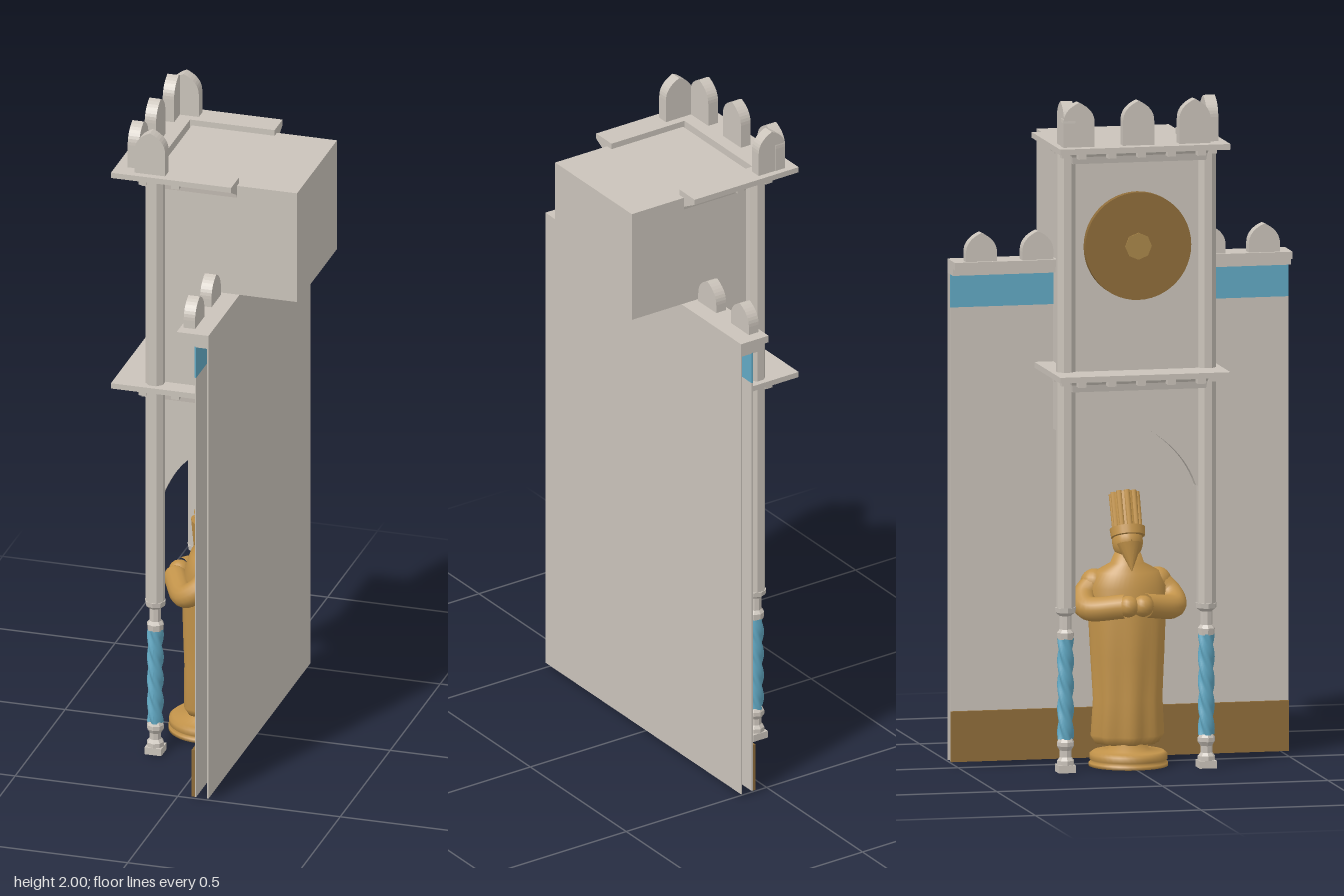
import * as THREE from 'three';

const mat = (name, color) => new THREE.MeshStandardMaterial({ name, color });

export function createModel() {
  const group = new THREE.Group();
  const stone = mat('stone', 0xcac3ba);
  const gold = mat('gold', 0xc2934a);
  const brown = mat('brown', 0x8f6d3a);
  const paleBrown = mat('paleBrown', 0xa98649);
  const blue = mat('blue', 0x62a9c4);
  const facet = stone.clone();
  facet.name = 'facetedStone';
  facet.flatShading = true;
  facet.side = THREE.DoubleSide;

  const add = (name, geo, material, x = 0, y = 0, z = 0, parent = group) => {
    const m = new THREE.Mesh(geo, material);
    m.name = name;
    m.position.set(x, y, z);
    parent.add(m);
    return m;
  };
  // box from its limits
  const box = (name, material, x0, x1, y0, y1, z0, z1) =>
    add(name, new THREE.BoxGeometry(x1 - x0, y1 - y0, z1 - z0), material, (x0 + x1) / 2, (y0 + y1) / 2, (z0 + z1) / 2);

  // surface through rings of points; rings are closed loops, ends are capped
  const loft = (rings, flat) => {
    const n = rings[0].length, pos = rings.flat(2), idx = [];
    for (let i = 0; i < rings.length - 1; i++)
      for (let j = 0; j < n; j++) {
        const a = i * n + j, b = i * n + (j + 1) % n;
        idx.push(a, a + n, b, b, a + n, b + n);
      }
    const last = (rings.length - 1) * n;
    for (let j = 1; j < n - 1; j++) idx.push(0, j, j + 1, last, last + j + 1, last + j);
    let g = new THREE.BufferGeometry();
    g.setAttribute('position', new THREE.Float32BufferAttribute(pos, 3));
    g.setIndex(idx);
    if (flat) g = g.toNonIndexed();
    g.computeVertexNormals();
    return g;
  };

  // Wall: two separate sheets, skirting, painted band and coping
  box('backSheet', stone, 0.094, 0.098, 0.01, 1.47, -0.51, 0.51);
  box('frontSheet', stone, 0.056, 0.06, 0.01, 1.36, -0.51, 0.51);
  box('skirting', brown, 0.046, 0.056, 0.01, 0.16, -0.51, 0.51);
  for (const s of [-1, 1]) {
    const a = Math.min(s * 0.2, s * 0.51), b = Math.max(s * 0.2, s * 0.51);
    box('paintedBand', blue, 0.055, 0.06, 1.36, 1.46, a, b);
    box('copingTop', stone, 0, 0.098, 1.478, 1.5, a, b);
    box('copingLower', stone, 0.025, 0.098, 1.458, 1.478, a, b);
  }
  box('copingMiddle', stone, 0.06, 0.098, 1.46, 1.5, -0.2, 0.2);

  // Battlement stones with pointed arch tops, facing x or z
  const merlon = (x, y, z, h, turned) => {
    const w = 0.047, s = new THREE.Shape();
    s.moveTo(-w, 0);
    s.lineTo(w, 0);
    s.lineTo(w, h - 0.06);
    s.quadraticCurveTo(w, h - 0.02, 0, h);
    s.quadraticCurveTo(-w, h - 0.02, -w, h - 0.06);
    const g = new THREE.ExtrudeGeometry(s, { depth: 0.035, bevelEnabled: false, curveSegments: 8 });
    g.translate(0, 0, -0.0175);
    const m = add('merlon', g, stone, x, y, z);
    if (turned) m.rotation.y = Math.PI / 2;
  };
  for (const z of [-0.427, -0.257, 0.263, 0.427]) merlon(0.028, 1.5, z, 0.085, true);
  for (const z of [-0.192, -0.012, 0.158]) merlon(-0.227, 1.865, z, 0.135, true);
  merlon(-0.198, 1.865, -0.22, 0.135);
  merlon(-0.167, 1.865, 0.218, 0.135);

  // Tower: upper housing, arched front and half-arched sides
  box('clockHousing', stone, -0.15, 0.275, 1.5, 1.85, -0.2, 0.2);
  const front = new THREE.Shape();
  front.moveTo(-0.2, 0.84);
  front.lineTo(-0.18, 0.84);
  front.quadraticCurveTo(-0.14, 0.96, 0, 1.03);
  front.quadraticCurveTo(0.14, 0.96, 0.18, 0.84);
  front.lineTo(0.2, 0.84);
  front.lineTo(0.2, 1.85);
  front.lineTo(-0.2, 1.85);
  const frontGeo = new THREE.ExtrudeGeometry(front, { depth: 0.03, bevelEnabled: false });
  add('towerFront', frontGeo, stone, -0.165).rotation.y = Math.PI / 2;
  const side = new THREE.Shape();
  side.moveTo(-0.14, 0.82);
  side.quadraticCurveTo(-0.08, 0.97, 0.02, 0.99);
  side.lineTo(0.058, 0.99);
  side.lineTo(0.058, 1.5);
  side.lineTo(-0.14, 1.5);
  const sideGeo = new THREE.ExtrudeGeometry(side, { depth: 0.02, bevelEnabled: false });
  add('towerSide', sideGeo, stone, 0, 0, 0.18);
  add('towerSide', sideGeo, stone, 0, 0, -0.2);
  box('nicheCeiling', stone, -0.14, 0.058, 1.04, 1.06, -0.19, 0.19);

  // Clock face
  const disc = (name, r, h, sides, m, x) => {
    add(name, new THREE.CylinderGeometry(r, r, h, sides), m, x, 1.56, 0).rotation.z = Math.PI / 2;
  };
  disc('clockFace', 0.16, 0.024, 48, brown, -0.176);
  disc('clockCentre', 0.04, 0.006, 8, paleBrown, -0.189);

  // Cornices: a profile carried round three sides of the tower
  const profile = [[0, 0], [0.3, 0.004], [0.34, 0.025], [0.42, 0.043], [1, 0.043], [1, 0.06], [0, 0.06]];
  const stations = [[0, -1], [1, -1], [1, 1], [0, 1]];
  const corniceGeo = loft(stations.map(([corner, s]) =>
    profile.map(([o, y]) => [corner ? -0.17 - 0.11 * o : 0.09, y, s * (0.177 + 0.08 * o)])), true);
  for (const y of [1.13, 1.808]) {
    add('cornice', corniceGeo, facet, 0, y, 0);
    for (const s of [-1, 1])
      for (const x of [-0.19, -0.09])
        box('dentil', stone, x - 0.012, x + 0.012, y + 0.022, y + 0.045, s * 0.222 - 0.012, s * 0.222 + 0.012);
    for (let z = -0.18; z < 0.19; z += 0.09)
      box('dentil', stone, -0.238, -0.208, y + 0.022, y + 0.045, z - 0.012, z + 0.012);
  }

  // Corner columns with twisted lower shafts
  const twist = new THREE.CylinderGeometry(1, 1, 0.3, 32, 48, true);
  const p = twist.attributes.position;
  for (let i = 0; i < p.count; i++) {
    const a = Math.atan2(p.getZ(i), p.getX(i));
    const r = 0.021 + 0.004 * Math.cos(4 * (a - p.getY(i) * 22));
    p.setXYZ(i, r * Math.cos(a), p.getY(i), r * Math.sin(a));
  }
  twist.computeVertexNormals();
  const turned = pts => new THREE.LatheGeometry(pts.map(q => new THREE.Vector2(...q)), 8);
  const footGeo = turned([[0.026, 0.02], [0.026, 0.035], [0.018, 0.045], [0.018, 0.065], [0.026, 0.078], [0.026, 0.09], [0.02, 0.1], [0, 0.1]]);
  const capGeo = turned([[0, 0.395], [0.024, 0.395], [0.026, 0.415], [0.018, 0.425], [0.018, 0.465], [0.03, 0.475], [0.032, 0.49], [0, 0.49]]);
  for (const s of [-1, 1]) {
    const col = new THREE.Group();
    col.name = 'cornerColumn';
    col.position.set(-0.157, 0, s * 0.2125);
    group.add(col);
    const shaft = add('shaft', new THREE.CylinderGeometry(0.029, 0.029, 1.365, 8), facet, 0, 1.1725, 0, col);
    shaft.rotation.y = Math.PI / 8;
    add('twistedShaft', twist, blue, 0, 0.248, 0, col);
    add('foot', footGeo, facet, 0, 0, 0, col);
    add('capital', capGeo, facet, 0, 0, 0, col);
    add('plinth', new THREE.BoxGeometry(0.052, 0.022, 0.052), stone, 0, 0.011, 0, col);
  }

  // Statue: round base and robe
  const statue = new THREE.Group();
  statue.name = 'statue';
  group.add(statue);
  const base = [[0, 0], [0.117, 0], [0.117, 0.01], [0.108, 0.014], [0.115, 0.02], [0.115, 0.036], [0.105, 0.044], [0.06, 0.046], [0.055, 0.08]];
  add('statueBase', new THREE.LatheGeometry(base.map(q => new THREE.Vector2(...q)), 40), gold, -0.06, 0, 0, statue);
  // cross-sections: height, centre x, half depth, half width, fold depth
  const robe = [
    [0.065, -0.045, 0.07, 0.09, 0.06], [0.09, -0.047, 0.082, 0.105, 0.06], [0.2, -0.05, 0.078, 0.1, 0.05],
    [0.32, -0.045, 0.088, 0.108, 0.03], [0.45, -0.04, 0.094, 0.115, 0.01], [0.53, -0.035, 0.088, 0.12, 0],
    [0.575, -0.038, 0.07, 0.095, 0], [0.6, -0.042, 0.045, 0.05, 0], [0.64, -0.05, 0.03, 0.035, 0]];
  add('robe', loft(robe.map(([y, cx, rx, rz, f]) => Array.from({ length: 48 }, (_, i) => {
    const a = i / 48 * Math.PI * 2, k = 1 + f * Math.cos(a * 8);
    return [cx + rx * k * Math.cos(a), y, rz * k * Math.sin(a)];
  }))), gold, 0, 0, 0, statue);

  // Folded arms
  const v = (x, y, z) => new THREE.Vector3(x, y, z);
  for (const s of [-1, 1]) {
    const path = new THREE.CatmullRomCurve3([v(-0.025, 0.545, s * 0.09), v(-0.045, 0.505, s * 0.13), v(-0.09, 0.475, s * 0.13), v(-0.15, 0.485, s * 0.03)]);
    add('arm', new THREE.TubeGeometry(path, 20, 0.036, 14), gold, 0, 0, 0, statue);
    add('shoulder', new THREE.SphereGeometry(0.042, 18, 12), gold, -0.025, 0.54, s * 0.095, statue);
    add('hand', new THREE.SphereGeometry(0.032, 14, 10), gold, -0.155, 0.485, s * 0.022, statue);
  }

  // Head, beard and tall fluted hat, tilted back
  add('head', new THREE.SphereGeometry(0.048, 20, 14), gold, -0.048, 0.662, 0, statue).scale.set(1, 1.1, 0.95);
  const beard = add('beard', new THREE.ConeGeometry(0.038, 0.085, 14), gold, -0.09, 0.62, 0, statue);
  beard.rotation.z = Math.PI - 0.35;
  add('nose', new THREE.ConeGeometry(0.011, 0.03, 8), gold, -0.095, 0.665, 0, statue).rotation.z = 0.5;
  const hat = new THREE.Group();
  hat.name = 'hat';
  hat.position.set(-0.05, 0.69, 0);
  hat.rotation.z = -0.4;
  statue.add(hat);
  add('hatBand', new THREE.CylinderGeometry(0.052, 0.05, 0.026, 24), gold, 0, 0, 0, hat);
  add('hatCrown', new THREE.CylinderGeometry(0.04, 0.036, 0.115, 24), gold, 0, 0.06, 0, hat);
  for (let i = 0; i < 10; i++) {
    const a = i / 10 * Math.PI * 2;
    add('hatFlute', new THREE.CylinderGeometry(0.009, 0.008, 0.115, 8), gold, 0.037 * Math.cos(a), 0.062, 0.037 * Math.sin(a), hat);
  }
  return group;
}
